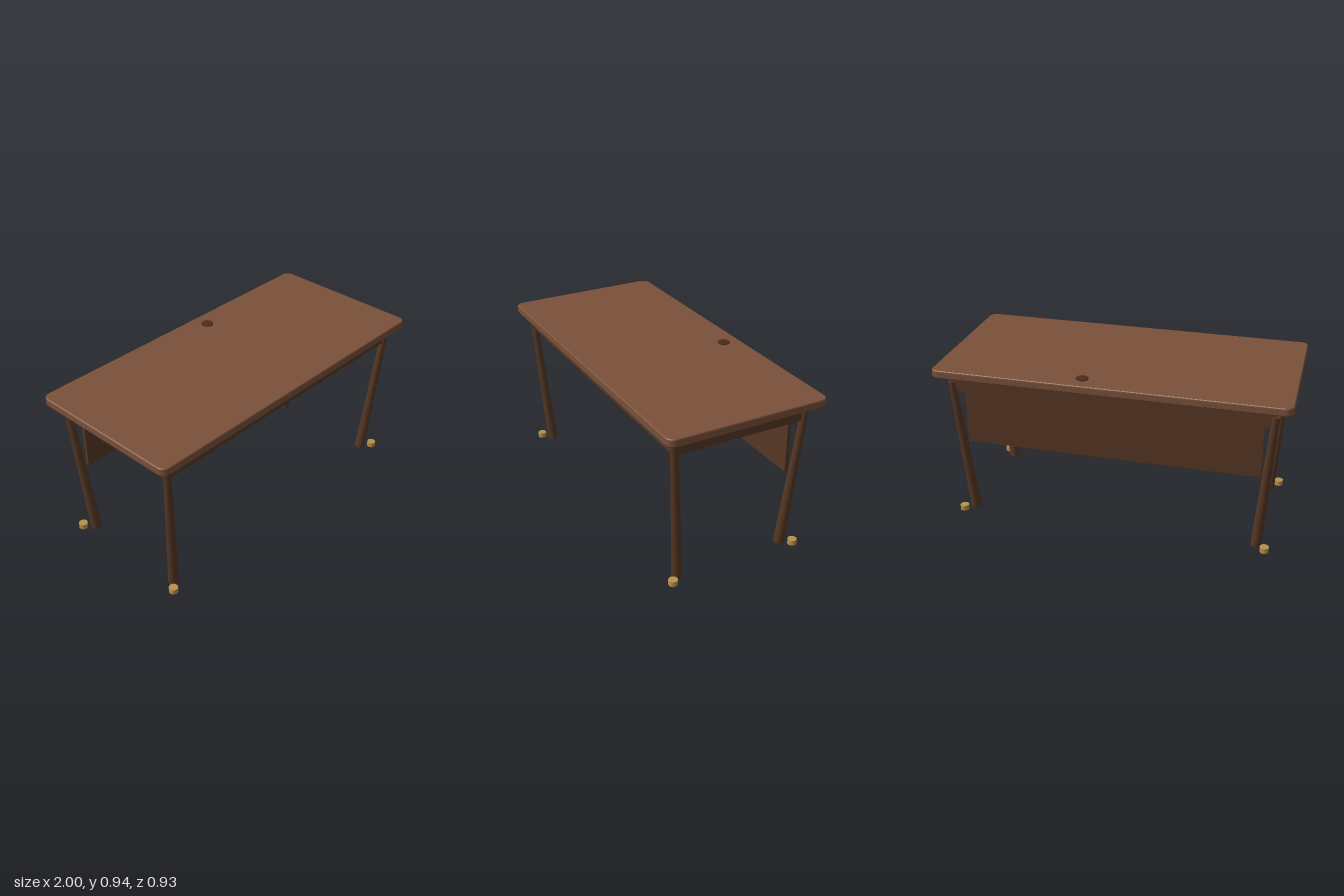
import * as THREE from 'three';
import { RoundedBoxGeometry } from 'three/addons/geometries/RoundedBoxGeometry.js';

const material = (name, color) => {
  const m = new THREE.MeshStandardMaterial({ color });
  m.name = name;
  return m;
};

export function createModel() {
  const topWood = material('reddish wood', 0x7a5139);
  const darkWood = material('dark wood', 0x553723);
  const brass = material('brass', 0xb8904a);
  const capBrown = material('cable cap brown', 0x4a2d1e);

  const desk = new THREE.Group();
  desk.name = 'desk';

  const add = (name, geometry, mat, x = 0, y = 0, z = 0) => {
    const mesh = new THREE.Mesh(geometry, mat);
    mesh.name = name;
    mesh.position.set(x, y, z);
    desk.add(mesh);
    return mesh;
  };

  // Box given by its minimum and maximum corners
  const addBox = (name, mat, [x0, y0, z0], [x1, y1, z1]) =>
    add(name, new THREE.BoxGeometry(x1 - x0, y1 - y0, z1 - z0), mat,
      (x0 + x1) / 2, (y0 + y1) / 2, (z0 + z1) / 2);

  // Table top: rounded rectangle with softly bevelled edges
  const bevel = 0.008, w = 1 - bevel, d = 0.467 - bevel, r = 0.037;
  const outline = new THREE.Shape();
  outline.absarc(w - r, d - r, r, 0, Math.PI / 2);
  outline.absarc(r - w, d - r, r, Math.PI / 2, Math.PI);
  outline.absarc(r - w, r - d, r, Math.PI, Math.PI * 1.5);
  outline.absarc(w - r, r - d, r, Math.PI * 1.5, Math.PI * 2);
  const slab = new THREE.ExtrudeGeometry(outline, {
    depth: 0.047 - 2 * bevel, bevelSize: bevel, bevelThickness: bevel,
    bevelSegments: 3, curveSegments: 8,
  });
  slab.rotateX(-Math.PI / 2);
  add('tableTop', slab, topWood, 0, 0.89 + bevel, 0);

  // Cable cap near the back edge
  add('cableCap', new THREE.CylinderGeometry(0.035, 0.035, 0.012, 24), capBrown, 0.147, 0.936, -0.367);

  // Apron block and back privacy panel
  addBox('apron', darkWood, [-0.912, 0.79, -0.392], [0.912, 0.89, 0.392]);
  addBox('privacyPanel', darkWood, [-0.85, 0.455, -0.352], [0.85, 0.79, -0.332]);

  // Shallow drawer under the apron with a pull along its front
  addBox('drawer', darkWood, [-0.877, 0.755, -0.332], [-0.26, 0.79, 0.288]);
  add('drawerPull', new RoundedBoxGeometry(0.6, 0.022, 0.02, 2, 0.004), topWood, -0.568, 0.778, 0.292);

  // Tapered legs leaning outwards toward the top, each with a foot beside it
  const up = new THREE.Vector3(0, 1, 0);
  for (const sx of [-1, 1]) {
    for (const sz of [-1, 1]) {
      const name = (sz > 0 ? 'front' : 'back') + (sx > 0 ? 'Left' : 'Right');
      const foot = new THREE.Vector3(sx * 0.848, 0.003, sz * 0.328);
      const head = new THREE.Vector3(sx * 0.907, 0.847, sz * 0.388);
      const axis = head.clone().sub(foot);
      const leg = add(name + 'Leg', new THREE.CylinderGeometry(0.02, 0.031, axis.length(), 20), darkWood);
      leg.position.copy(foot).add(head).multiplyScalar(0.5);
      leg.quaternion.setFromUnitVectors(up, axis.normalize());
      add(name + 'Foot', new THREE.CylinderGeometry(0.026, 0.026, 0.031, 16), brass,
        sx * 0.901, 0.0155, sz * 0.382);
    }
  }

  return desk;
}
